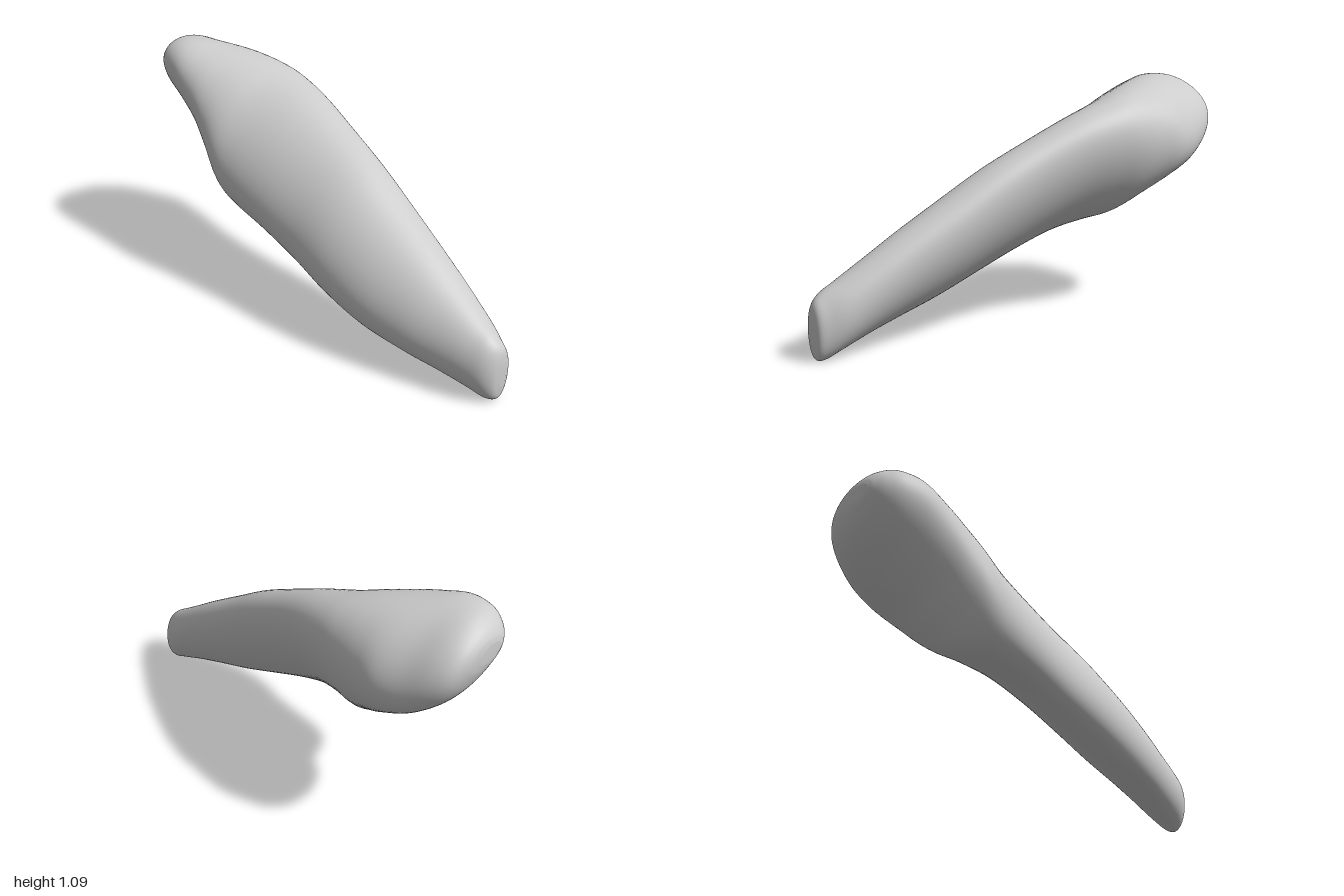
import * as THREE from 'three';

// Cross-sections from the narrow tip to the broad end:
// [z, xMin, xMax, yMin, yMax, tilt]; each is a slanted ellipse.
const SECTIONS = [
  [1.00, -0.125, -0.085, 0.07, 0.18, 0.0],
  [0.988, -0.165, -0.052, 0.012, 0.24, 0.0],
  [0.95, -0.198, -0.03, 0.003, 0.28, 0.02],
  [0.88, -0.22, 0.0, 0.028, 0.323, 0.12],
  [0.75, -0.247, 0.03, 0.065, 0.405, 0.28],
  [0.60, -0.277, 0.06, 0.10, 0.50, 0.39],
  [0.40, -0.303, 0.10, 0.15, 0.62, 0.47],
  [0.20, -0.303, 0.135, 0.22, 0.74, 0.52],
  [0.00, -0.285, 0.17, 0.30, 0.84, 0.54],
  [-0.20, -0.28, 0.215, 0.37, 0.93, 0.52],
  [-0.37, -0.28, 0.255, 0.41, 0.99, 0.43],
  [-0.48, -0.275, 0.275, 0.44, 1.025, 0.28],
  [-0.58, -0.245, 0.29, 0.52, 1.05, 0.07],
  [-0.68, -0.22, 0.30, 0.60, 1.07, -0.16],
  [-0.80, -0.20, 0.272, 0.67, 1.09, -0.36],
  [-0.90, -0.17, 0.238, 0.745, 1.085, -0.37],
  [-0.96, -0.13, 0.195, 0.815, 1.055, -0.34],
  [-0.99, -0.09, 0.13, 0.88, 1.02, -0.28],
  [-1.00, -0.06, 0.06, 0.92, 0.99, -0.2],
];

// Smooth skin through the sections, closed by a pole at each end
function buildBody(rows, sides) {
  const curve = (pick) => new THREE.CatmullRomCurve3(
    SECTIONS.map((s) => new THREE.Vector3(...pick(s))), false, 'catmullrom', 0.5);
  const low = curve((s) => [s[1], s[3], s[0]]);
  const high = curve((s) => [s[2], s[4], s[0]]);
  const tilt = curve((s) => [s[5], 0, 0]);
  const positions = [], index = [];

  for (let i = 0; i <= rows; i++) {
    const a = low.getPoint(i / rows), b = high.getPoint(i / rows);
    const slant = Math.asin(tilt.getPoint(i / rows).x);
    for (let j = 0; j < sides; j++) {
      const t = (j / sides) * Math.PI * 2;
      positions.push(
        (a.x + b.x) / 2 + ((b.x - a.x) / 2) * Math.cos(t),
        (a.y + b.y) / 2 + ((b.y - a.y) / 2) * Math.sin(t + slant),
        a.z);
    }
  }
  for (let i = 0; i < rows; i++) {
    for (let j = 0; j < sides; j++) {
      const k = (j + 1) % sides;
      const p = i * sides + j, q = i * sides + k;
      index.push(p, p + sides, q, q, p + sides, q + sides);
    }
  }
  // End caps
  const tip = positions.length / 3, last = rows * sides;
  for (const s of [SECTIONS[0], SECTIONS[SECTIONS.length - 1]]) {
    positions.push((s[1] + s[2]) / 2, (s[3] + s[4]) / 2, s[0]);
  }
  for (let j = 0; j < sides; j++) {
    const k = (j + 1) % sides;
    index.push(tip, j, k, tip + 1, last + k, last + j);
  }

  const geometry = new THREE.BufferGeometry();
  geometry.setAttribute('position', new THREE.Float32BufferAttribute(positions, 3));
  geometry.setIndex(index);
  geometry.computeVertexNormals();
  return geometry;
}

export function createModel() {
  const group = new THREE.Group();
  group.name = 'taperedStone';
  const grey = new THREE.MeshStandardMaterial({ color: 0xcccccc });
  grey.name = 'light grey';
  const body = new THREE.Mesh(buildBody(108, 64), grey);
  body.name = 'body';
  group.add(body);
  return group;
}
